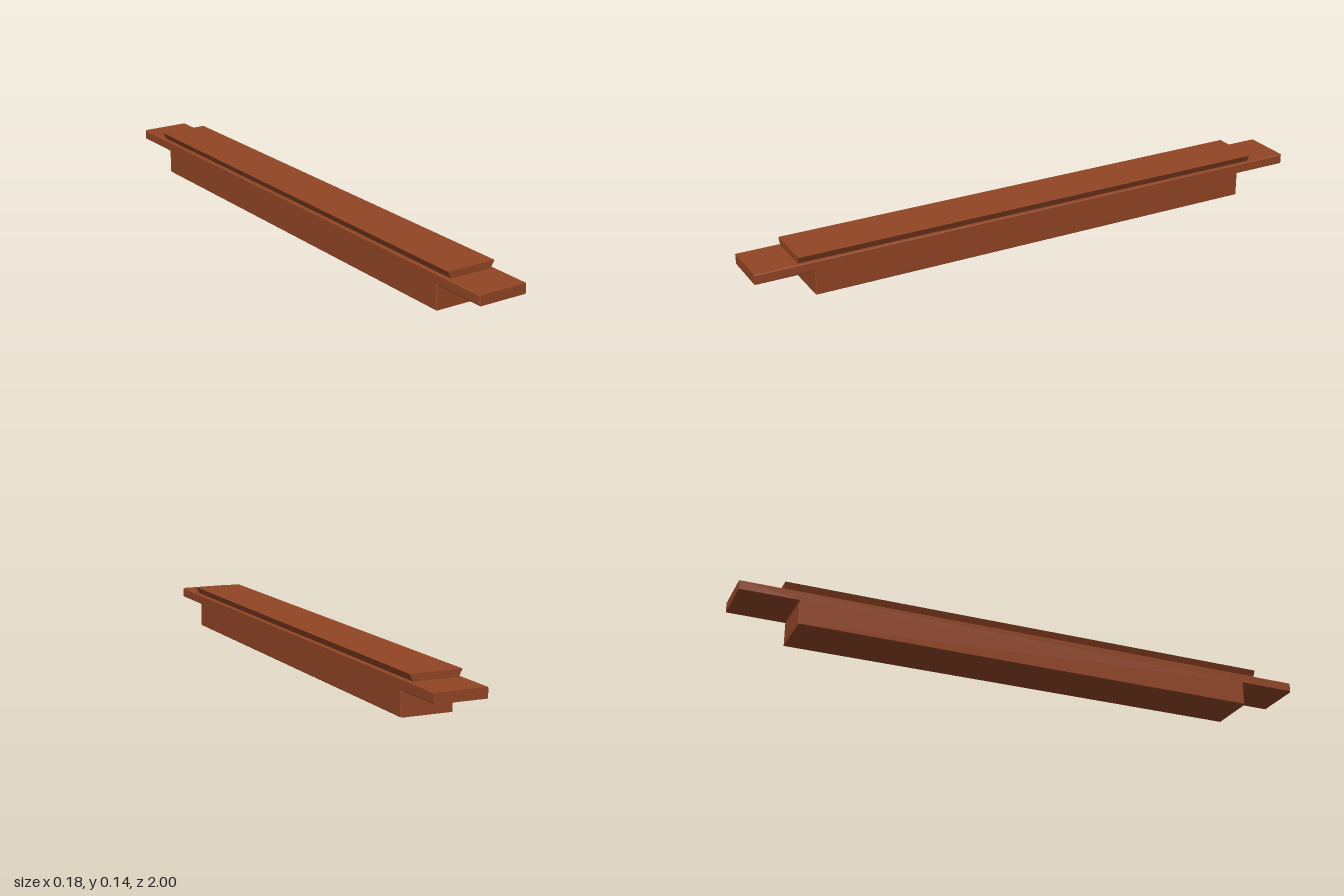
import * as THREE from 'three';

// Extrude a closed outline along z, centred, with an optional small chamfer
function extrude(points, length, bevel = 0) {
  const shape = new THREE.Shape(points.map(([x, y]) => new THREE.Vector2(x, y)));
  const geometry = new THREE.ExtrudeGeometry(shape, {
    depth: length - 2 * bevel,
    bevelEnabled: bevel > 0,
    bevelSize: bevel,
    bevelThickness: bevel,
    bevelOffset: -bevel,
    bevelSegments: 1,
  });
  return geometry.translate(0, 0, -length / 2 + bevel);
}

// Complete a half outline by mirroring it across x = 0
const mirrored = (half) => [...half, ...half.map(([x, y]) => [-x, y]).reverse()];

export function createModel() {
  const group = new THREE.Group();
  group.name = 'dovetailBeam';
  const wood = new THREE.MeshStandardMaterial({ color: 0x914525 });
  wood.name = 'reddish brown';

  // Beam with a thin tongue at each end
  const beam = new THREE.Mesh(
    extrude(mirrored([[0.805, 0], [0.805, 0.082], [1, 0.082], [1, 0.116]]), 0.175, 0.003),
    wood
  );
  beam.geometry.rotateY(Math.PI / 2);
  beam.name = 'beamWithEndTongues';

  // Rail on top, flaring outward toward its upper face
  const rail = new THREE.Mesh(
    extrude(mirrored([[0.074, 0.115], [0.0875, 0.14]]), 1.71),
    wood
  );
  rail.name = 'dovetailRail';

  group.add(beam, rail);
  return group;
}
